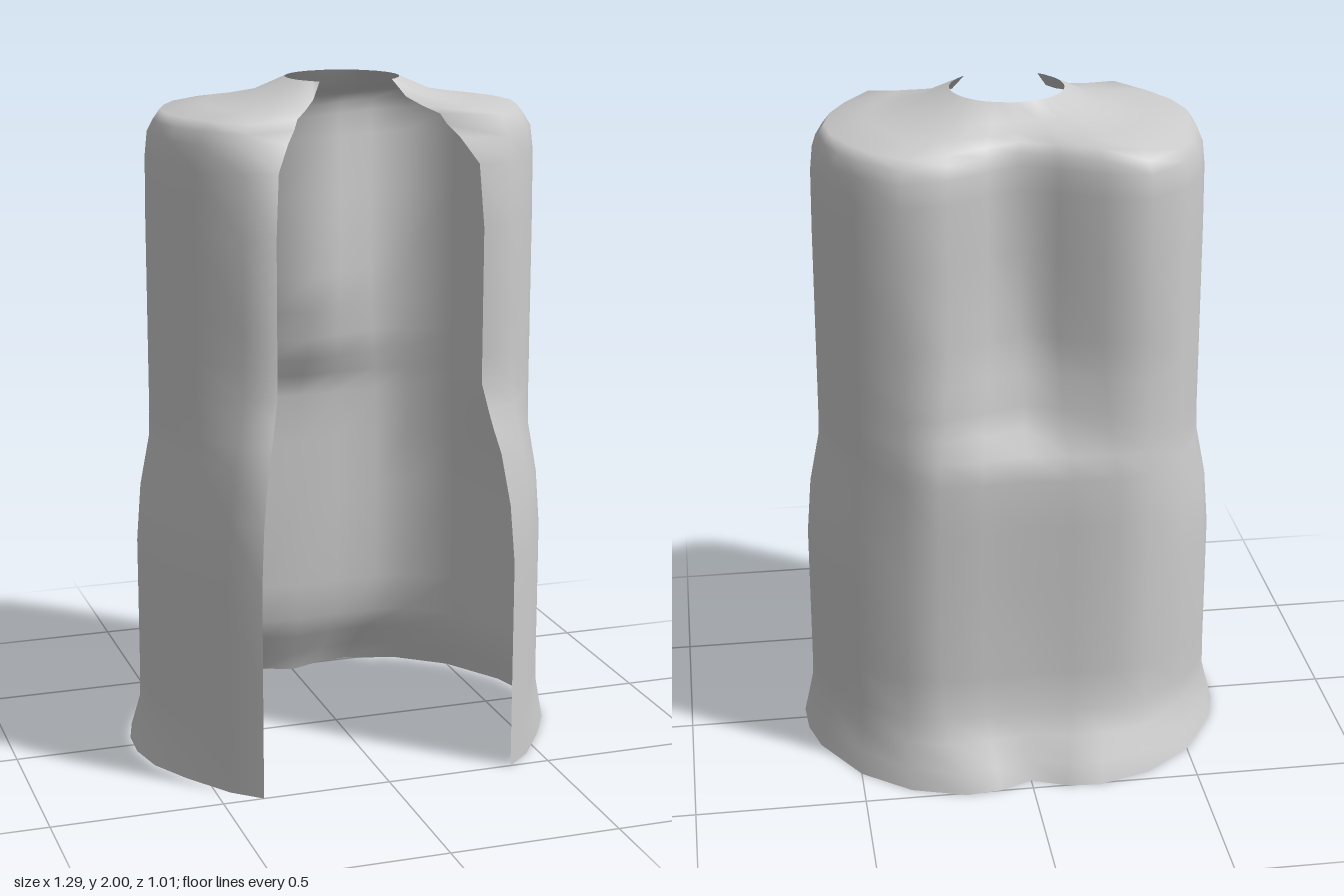
import * as THREE from 'three';

// Half outlines [x, z], from the front opening round the side to the middle of the back
const hem = [[.38, .5], [.46, .43], [.555, .29], [.62, .17], [.645, .05], [.64, -.06],
  [.61, -.17], [.5, -.35], [.36, -.46], [.2, -.51], [.1, -.5], [0, -.46]];
const lower = [[.38, .5], [.46, .43], [.54, .29], [.595, .17], [.615, .05], [.605, -.06],
  [.57, -.165], [.49, -.28], [.36, -.365], [.26, -.385], [.13, -.385], [0, -.37]];
const upper = [[.305, .41], [.4, .4], [.5, .27], [.555, .16], [.57, .05], [.56, -.06],
  [.53, -.16], [.47, -.26], [.35, -.355], [.22, -.33], [.1, -.27], [0, -.22]];
const rim = [[.21, .3], [.37, .375], [.45, .26], [.5, .16], [.525, .05], [.515, -.05],
  [.48, -.14], [.43, -.23], [.33, -.32], [.21, -.29], [.1, -.24], [0, -.2]];
// Round neck hole, in line with the rim as seen from its centre
const neck = rim.map(([x, z]) => {
  const a = Math.atan2(x, z - .055);
  return [.165 * Math.sin(a), .055 + .165 * Math.cos(a)];
});

// Levels: height, two outlines, and the blend at the front, side and back
const levels = [
  [0, hem, lower, 0, 0, 0],
  [.06, hem, lower, .4, .45, .22],
  [.13, hem, lower, .9, .95, .6],
  [.2, hem, lower, 1, 1, .87],
  [.32, hem, lower, 1, 1, 1],
  [.63, lower, upper, 0, 0, 0],
  [.8, lower, upper, .14, .3, 0],
  [.95, lower, upper, .42, .95, 0],
  [1.02, lower, upper, .65, 1, .15],
  [1.08, lower, upper, .82, 1, .5],
  [1.15, lower, upper, 1, 1, .62],
  [1.24, lower, upper, 1, 1, .8],
  [1.35, lower, upper, 1, 1, 1],
  [1.6, lower, upper, 1, 1, 1],
  [1.78, upper, rim, .12, .04, 0],
  [1.85, upper, rim, .55, .2, .1],
  [1.885, upper, rim, .85, .6, .55],
  [1.912, upper, rim, 1, 1, 1],
  [1.93, rim, neck, .35, .35, .35],
  [1.953, rim, neck, .7, .7, .7],
  [2, rim, neck, 1, 1, 1],
];

function section([y, from, to, front, side, back]) {
  const half = from.map(([x, z], i) => {
    const w = i < 2 ? front : i < 8 ? side : back;
    return [x + (to[i][0] - x) * w, y, z + (to[i][1] - z) * w];
  });
  const mirrored = half.slice(0, -1).reverse().map(([x, h, z]) => [-x, h, z]);
  return [...half, ...mirrored];
}

export function createModel() {
  const cloth = new THREE.MeshStandardMaterial({ color: 0xcccccc, side: THREE.DoubleSide });
  cloth.name = 'grey cloth';

  // Open cloak, lofted through the levels from hem to neck
  const rows = levels.map(section);
  const n = rows[0].length;
  const index = [];
  for (let r = 0; r < rows.length - 1; r++) {
    for (let c = 0; c < n - 1; c++) {
      const a = r * n + c, b = a + 1, d = a + n, e = d + 1;
      index.push(a, b, d, b, e, d);
    }
  }
  const geometry = new THREE.BufferGeometry();
  geometry.setAttribute('position', new THREE.Float32BufferAttribute(rows.flat(2), 3));
  geometry.setIndex(index);
  geometry.computeVertexNormals();

  const cloak = new THREE.Mesh(geometry, cloth);
  cloak.name = 'cloak';
  const group = new THREE.Group();
  group.name = 'openCloak';
  group.add(cloak);
  return group;
}
